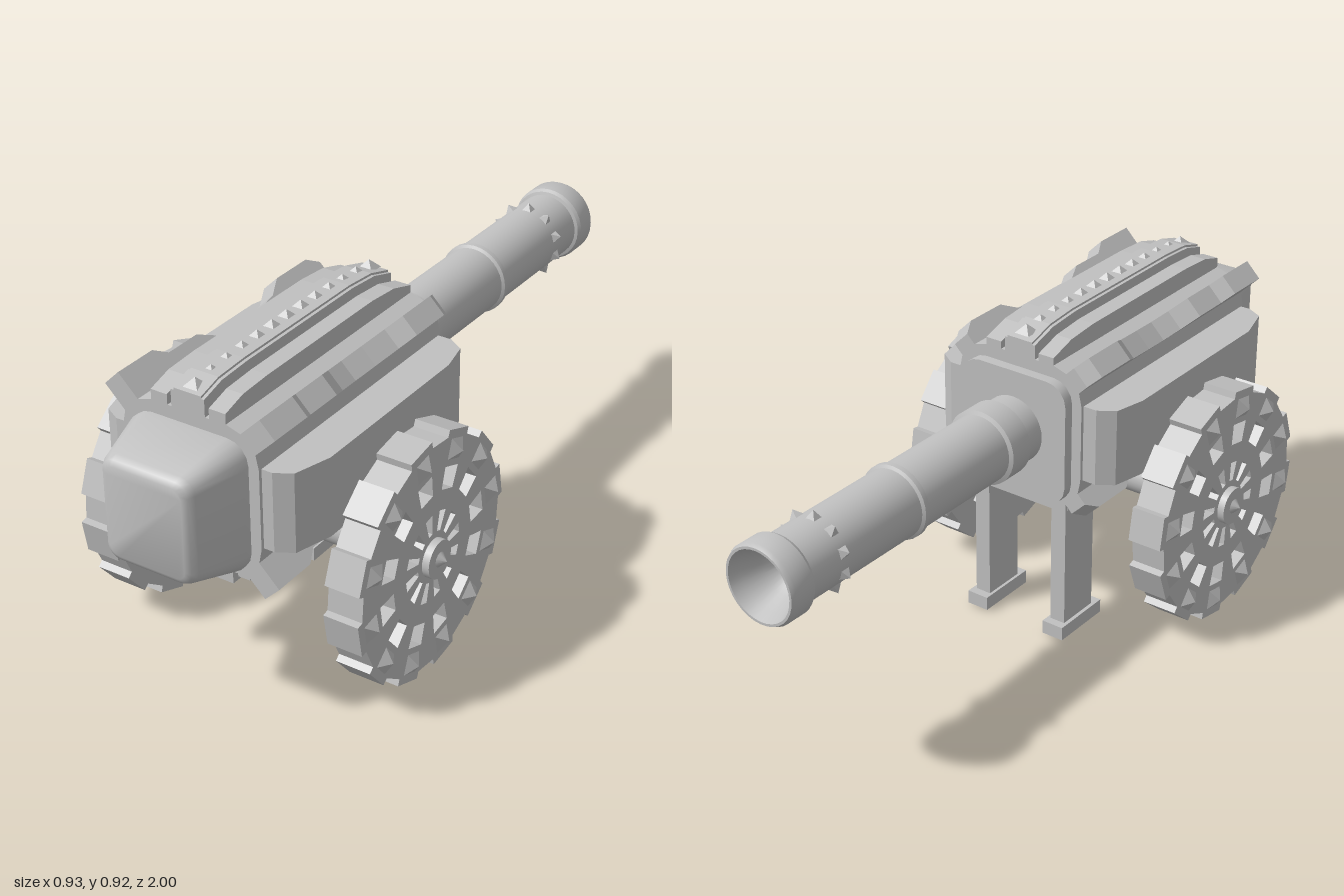
import * as THREE from 'three';
import { toCreasedNormals } from 'three/addons/utils/BufferGeometryUtils.js';

const metal = new THREE.MeshStandardMaterial({ color: 0xc0c0c0 });
metal.name = 'grey metal';

const V = (x, y, z) => new THREE.Vector3(x, y, z);
const shapeOf = pts => new THREE.Shape(pts.map(p => new THREE.Vector2(p[0], p[1])));

function add(parent, name, geo, x = 0, y = 0, z = 0) {
  const mesh = new THREE.Mesh(geo, metal);
  mesh.name = name;
  mesh.position.set(x, y, z);
  parent.add(mesh);
  return mesh;
}

// Slab whose outline is given as (z, distance along dir), thickness across both
function slab(shape, dir, thickness) {
  const geo = new THREE.ExtrudeGeometry(shape, { depth: thickness, bevelEnabled: false, curveSegments: 6 });
  geo.translate(0, 0, -thickness / 2);
  const zAxis = V(0, 0, 1), d = dir.clone().normalize();
  return geo.applyMatrix4(new THREE.Matrix4().makeBasis(zAxis, d, zAxis.clone().cross(d)));
}

// Rounded rectangle outline, counter-clockwise
function roundRect(hw, y0, y1, r) {
  const pts = [];
  const corners = [[hw - r, y1 - r], [-hw + r, y1 - r], [-hw + r, y0 + r], [hw - r, y0 + r]];
  corners.forEach(([cx, cy], k) => {
    for (let i = 0; i <= 4; i++) {
      const a = (k + i / 4) * Math.PI / 2;
      pts.push([cx + r * Math.cos(a), cy + r * Math.sin(a)]);
    }
  });
  return pts;
}

// Skin through equal-length outlines at rising z, closed at the front
function loft(rings) {
  const n = rings[0].pts.length, pos = [], idx = [];
  rings.forEach(r => r.pts.forEach(p => pos.push(p[0], p[1], r.z)));
  for (let i = 0; i < rings.length - 1; i++) for (let j = 0; j < n; j++) {
    const a = i * n + j, b = i * n + (j + 1) % n;
    idx.push(a, b, b + n, a, b + n, a + n);
  }
  const last = (rings.length - 1) * n;
  for (let j = 1; j < n - 1; j++) idx.push(last, last + j, last + j + 1);
  const geo = new THREE.BufferGeometry();
  geo.setAttribute('position', new THREE.Float32BufferAttribute(pos, 3));
  geo.setIndex(idx);
  return toCreasedNormals(geo, 0.7);
}

// Square pyramid stud with its base at the origin, pointing along dir
function stud(size, height, dir) {
  const geo = new THREE.ConeGeometry(size * Math.SQRT1_2, height, 4).toNonIndexed();
  geo.rotateY(Math.PI / 4).translate(0, height / 2, 0);
  geo.computeVertexNormals();
  return geo.applyQuaternion(new THREE.Quaternion().setFromUnitVectors(V(0, 1, 0), dir));
}

const STEP = Math.PI / 6, FIRST = -Math.PI / 18;
const polar = (r, a) => [r * Math.cos(a), r * Math.sin(a)];

// Toothed wheel outline with two rings of openings
function wheelShape() {
  const rim = [];
  for (let i = 0; i < 12; i++) {
    const a = FIRST + i * STEP, h = 0.14;
    rim.push(polar(0.321, a - h - 0.01), polar(0.34, a - h), polar(0.34, a + h), polar(0.321, a + h + 0.01));
  }
  const shape = shapeOf(rim);
  const hole = (a, r0, r1, w0, w1) => {
    const pts = [[r0, -w0], [r0, w0], [r1, w1], [r1, -w1]].map(([u, v]) => new THREE.Vector2(u, v).rotateAround(new THREE.Vector2(), a));
    shape.holes.push(new THREE.Path(pts));
  };
  for (let i = 0; i < 12; i++) {
    const a = FIRST + i * STEP;
    hole(a, 0.18, 0.24, 0.027, 0.032);
    hole(a, 0.07, 0.125, 0.008, 0.015);
  }
  return shape;
}

function makeWheel(side) {
  const wheel = new THREE.Group();
  wheel.name = side > 0 ? 'leftWheel' : 'rightWheel';
  wheel.position.set(side * 0.375, 0.34, 0.41);
  const out = V(side, 0, 0);
  add(wheel, 'wheelDisc', slab(wheelShape(), V(0, 1, 0), 0.1));
  for (let i = 0; i < 12; i++) {
    const [z, y] = polar(0.285, FIRST + i * STEP);
    const geo = stud(0.055, 0.023, out).rotateX(-FIRST - i * STEP);
    add(wheel, 'wheelStud', geo, side * 0.05, y, z);
  }
  // Hub cap with a small point
  add(wheel, 'hub', new THREE.CylinderGeometry(0.053, 0.053, 0.03, 24).rotateZ(Math.PI / 2), side * 0.055);
  const tip = new THREE.ConeGeometry(0.022, 0.022, 12).applyQuaternion(new THREE.Quaternion().setFromUnitVectors(V(0, 1, 0), out));
  add(wheel, 'hubTip', tip, side * 0.08);
  return wheel;
}

export function createModel() {
  const model = new THREE.Group();
  model.name = 'cannon';

  // Hull with cut corners
  const half = [[0.11, 0.825], [0.158, 0.81], [0.19, 0.775], [0.2, 0.73], [0.2, 0.51], [0.19, 0.46], [0.158, 0.43], [0.12, 0.415]];
  const hull = shapeOf([...half, ...half.map(([x, y]) => [-x, y]).reverse()]);
  add(model, 'hull', new THREE.ExtrudeGeometry(hull, { depth: 0.8, bevelEnabled: false }), 0, 0, 0.02);

  // Rounded nose and rear flange
  add(model, 'nose', loft([
    { z: 0.81, pts: roundRect(0.17, 0.43, 0.79, 0.06) },
    { z: 0.84, pts: roundRect(0.17, 0.43, 0.79, 0.06) },
    { z: 0.975, pts: roundRect(0.133, 0.468, 0.76, 0.04) },
    { z: 0.992, pts: roundRect(0.124, 0.476, 0.752, 0.034) },
    { z: 1.0, pts: roundRect(0.11, 0.49, 0.738, 0.025) }
  ]));
  const flange = shapeOf(roundRect(0.17, 0.43, 0.79, 0.06));
  add(model, 'rearFlange', toCreasedNormals(new THREE.ExtrudeGeometry(flange, { depth: 0.04, bevelEnabled: false }), 0.7), 0, 0, -0.01);

  // Belly plate
  add(model, 'bellyPlate', new THREE.BoxGeometry(0.31, 0.03, 0.78), 0, 0.415, 0.42);
  add(model, 'bellyRail', new THREE.BoxGeometry(0.24, 0.035, 0.8), 0, 0.408, 0.43);

  // Side panels, corner fins, legs and wheels
  const panel = shapeOf([[0.03, 0.17], [0.03, 0.24], [0.06, 0.285], [0.15, 0.305], [0.68, 0.305], [0.785, 0.275], [0.81, 0.23], [0.81, 0.17]]);
  const fin = shapeOf([[0.02, -0.02], [0.02, 0.05], [0.06, 0.076], [0.19, 0.076], [0.24, 0.045], [0.33, 0.03], [0.41, 0.022],
    [0.48, 0.035], [0.54, 0.068], [0.65, 0.068], [0.69, 0.095], [0.82, 0.095], [0.82, -0.02]]);
  for (const side of [1, -1]) {
    add(model, 'sidePanel', slab(panel, V(side, 0, 0), 0.22), 0, 0.62, 0);
    for (const up of [1, -1]) {
      add(model, 'cornerFin', slab(fin, V(side, up, 0), 0.06), side * 0.16, 0.62 + up * 0.16, 0);
    }
    add(model, 'leg', new THREE.BoxGeometry(0.047, 0.41, 0.13), side * 0.129, 0.225, 0.087);
    add(model, 'foot', new THREE.BoxGeometry(0.066, 0.04, 0.185), side * 0.13, 0.025, 0.09);
    model.add(makeWheel(side));
  }
  add(model, 'axle', new THREE.CylinderGeometry(0.056, 0.056, 0.84, 28).rotateZ(Math.PI / 2), 0, 0.342, 0.41);

  // Arched top rails: a low pair and a raised ridge between them
  const arch = top => shapeOf([[0.02, 0.8], [0.02, top - 0.032], [0.1, top - 0.008], [0.2, top], [0.65, top], [0.75, top - 0.005], [0.82, top - 0.025], [0.82, 0.8]]);
  for (const side of [1, -1]) {
    add(model, 'topRail', slab(arch(0.878), V(0, 1, 0), 0.048), side * 0.085, 0, 0);
    add(model, 'ridgeEdge', slab(arch(0.897), V(0, 1, 0), 0.01), side * 0.044, 0, 0);
  }
  add(model, 'topRidge', slab(arch(0.903), V(0, 1, 0), 0.08));
  for (let i = 0; i < 13; i++) {
    const z = 0.05 + i * 0.0615;
    add(model, 'ridgeStud', stud(0.045, 0.024, V(0, 1, 0)), 0, 0.896 - 0.12 * Math.pow(Math.abs(z - 0.42), 2), z);
  }

  // Barrel: bands, bead, muzzle ring and hollow flared bore
  const profile = [[0.095, -0.02], [0.095, 0.07], [0.106, 0.075], [0.106, 0.148], [0.095, 0.153], [0.095, 0.485], [0.103, 0.49],
    [0.103, 0.505], [0.095, 0.51], [0.095, 0.915], [0.104, 0.918], [0.11, 0.928], [0.11, 0.988], [0.104, 1.0], [0.097, 1.0],
    [0.085, 0.97], [0.065, 0.92], [0.04, 0.87], [0, 0.84]].map(p => new THREE.Vector2(p[0], p[1]));
  const barrel = new THREE.LatheGeometry(profile, 32).rotateX(-Math.PI / 2);
  add(model, 'barrel', toCreasedNormals(barrel, 0.5), 0, 0.62, 0);
  for (let i = 0; i < 10; i++) {
    const a = (i + 0.5) * Math.PI / 5, d = V(Math.cos(a), Math.sin(a), 0);
    add(model, 'barrelStud', stud(0.028, 0.022, d), d.x * 0.093, 0.62 + d.y * 0.093, -0.8);
  }
  return model;
}
